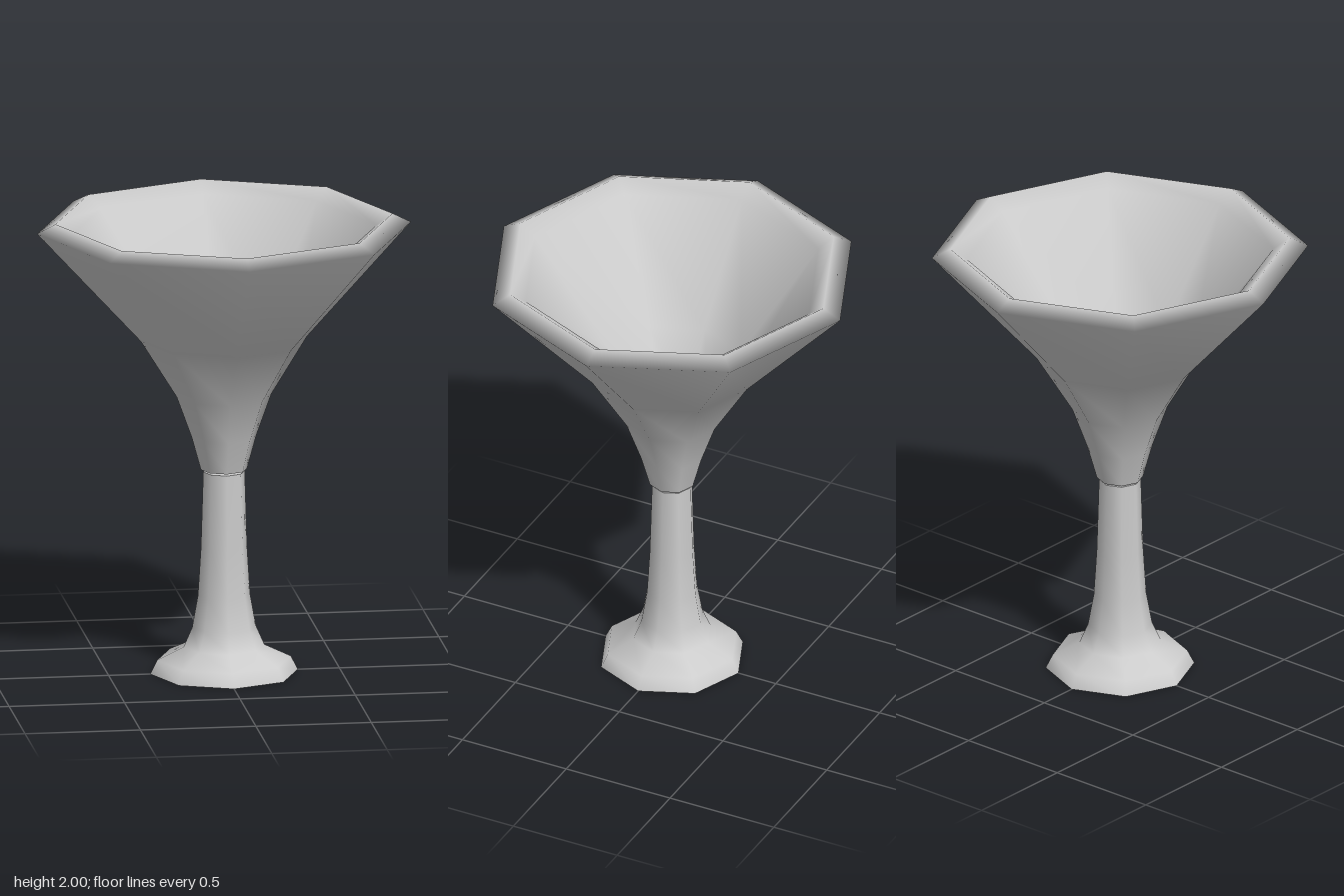
import * as THREE from 'three';

const SIDES = 8;

export function createModel() {
  const group = new THREE.Group();
  group.name = 'goblet';
  const grey = new THREE.MeshStandardMaterial({ color: 0xcccccc });
  grey.name = 'pale grey';

  const turned = (name, profile) => {
    const points = profile.map(([r, y]) => new THREE.Vector2(r, y));
    const mesh = new THREE.Mesh(new THREE.LatheGeometry(points, SIDES), grey);
    mesh.name = name;
    group.add(mesh);
  };

  // Flared foot running up into the stem
  turned('footAndStem', [
    [0.32, 0], [0.29, 0.06], [0.175, 0.115], [0.138, 0.2],
    [0.113, 0.34], [0.1, 0.55], [0.09, 0.885],
  ]);

  // Flat closing faces of the foot and stem
  turned('footUnderside', [[0, 0], [0.32, 0]]);
  turned('stemTop', [[0.09, 0.885], [0, 0.885]]);

  // Bowl: outside, rounded rim, then the inside down to a point
  turned('bowl', [
    [0.1, 0.895], [0.14, 1.04], [0.205, 1.22], [0.36, 1.47],
    [0.81, 1.96], [0.73, 2], [0.66, 1.95],
    [0.31, 1.49], [0.16, 1.23], [0.08, 1.04], [0, 0.89],
  ]);

  return group;
}
